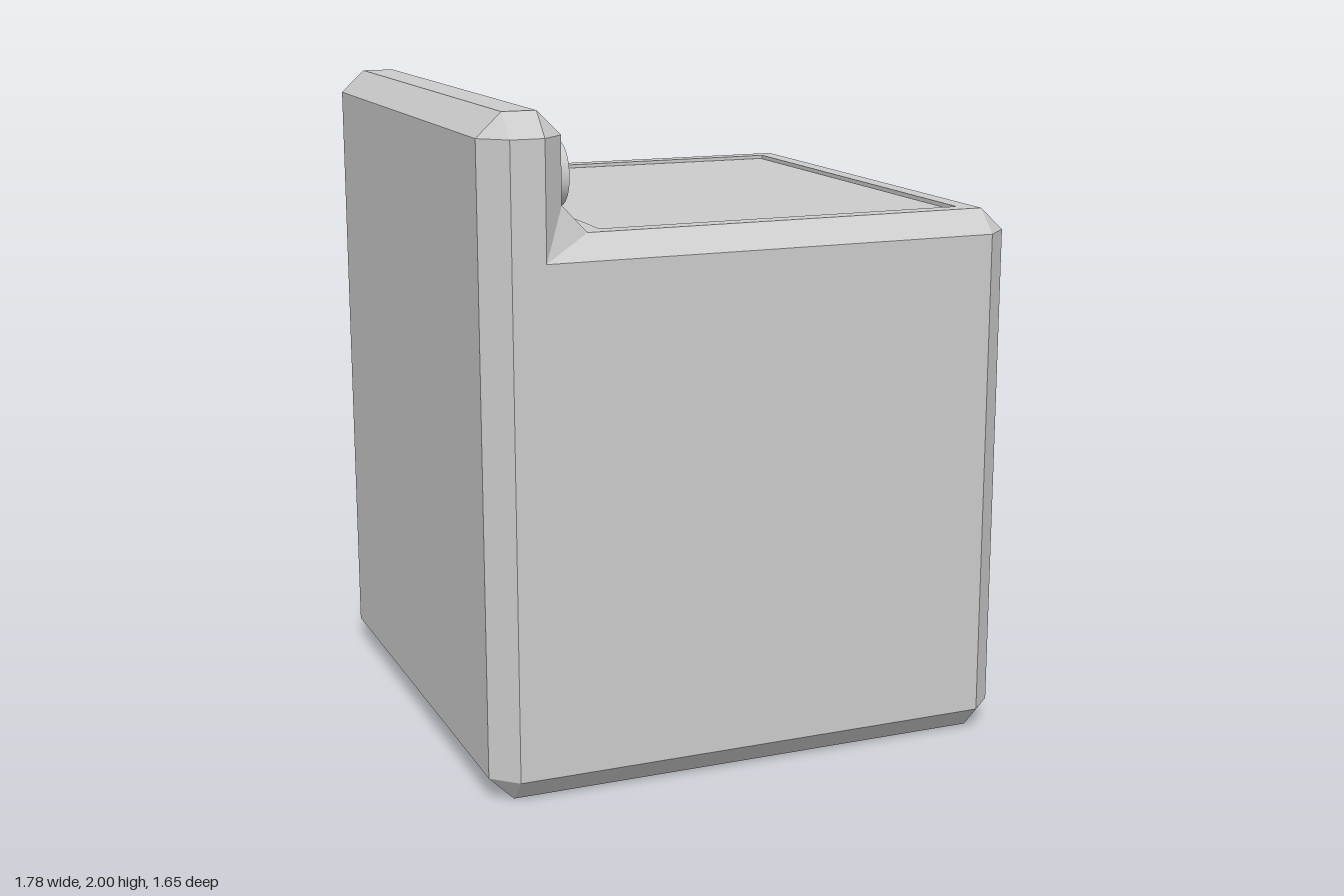
import * as THREE from 'three';

const material = new THREE.MeshStandardMaterial({ color: 0xcccccc });

function add(parent, name, geometry) {
  const mesh = new THREE.Mesh(geometry, material);
  mesh.name = name;
  parent.add(mesh);
  return mesh;
}

function box(x0, x1, y0, y1, z0, z1) {
  return new THREE.BoxGeometry(x1 - x0, y1 - y0, z1 - z0)
    .translate((x0 + x1) / 2, (y0 + y1) / 2, (z0 + z1) / 2);
}

const rectangle = (x0, x1, y0, y1) =>
  [[x0, y0], [x1, y0], [x1, y1], [x0, y1]].map(([x, y]) => new THREE.Vector2(x, y));

// Flat frame with a rectangular opening, extruded along +z
function frame(outer, hole, depth) {
  const shape = new THREE.Shape(rectangle(...outer));
  shape.holes.push(new THREE.Path(rectangle(...hole)));
  return new THREE.ExtrudeGeometry(shape, { depth, bevelEnabled: false });
}

// Outline of the body, and the smaller outline of its side faces
const outline = [
  [-0.895, 0.075], [-0.82, 0], [0.685, 0], [0.76, 0.075], [0.76, 1.585], [0.685, 1.655],
  [-0.575, 1.655], [-0.65, 1.735], [-0.65, 1.93], [-0.72, 2], [-0.82, 2], [-0.895, 1.93],
];
const side = [[-0.82, 0.075], [0.685, 0.075], [0.685, 1.585], [-0.72, 1.585], [-0.72, 1.93], [-0.82, 1.93]];
const sideIndex = [0, 0, 1, 1, 2, 2, 3, 3, 4, 4, 5, 5];

// Chamfered skin lofted along z, leaving out the oven front and cooktop strips
function bodySkin() {
  const inset = sideIndex.map((i) => side[i]);
  const loops = [[inset, 0.825], [outline, 0.755], [outline, -0.755], [inset, -0.825]]
    .map(([points, z]) => points.map(([x, y]) => new THREE.Vector3(x, y, z)));
  const positions = [];
  const triangle = (a, b, c) => {
    if (a.equals(b) || b.equals(c) || c.equals(a)) return;
    for (const p of [a, b, c]) positions.push(p.x, p.y, p.z);
  };
  for (let k = 0; k < 3; k++) {
    const a = loops[k], b = loops[k + 1];
    for (let i = 0; i < 12; i++) {
      if (k === 1 && (i === 3 || i === 5)) continue;
      const j = (i + 1) % 12;
      triangle(a[i], b[i], b[j]);
      triangle(a[i], b[j], a[j]);
    }
  }
  const geometry = new THREE.BufferGeometry();
  geometry.setAttribute('position', new THREE.Float32BufferAttribute(positions, 3));
  geometry.computeVertexNormals();
  return geometry;
}

export function createModel() {
  const model = new THREE.Group();
  model.name = 'stove';

  // Body: chamfered skin and flat side faces
  const body = new THREE.Group();
  body.name = 'body';
  model.add(body);
  add(body, 'bodySkin', bodySkin());
  const sideShape = new THREE.Shape(side.map(([x, y]) => new THREE.Vector2(x, y)));
  add(body, 'sidePanels', new THREE.ExtrudeGeometry(sideShape, { depth: 1.65, bevelEnabled: false })
    .translate(0, 0, -0.825));

  // Cooktop: rim, groove and slightly sunken plate
  add(model, 'cooktopRim', frame([-0.575, 0.685, -0.755, 0.755], [-0.52, 0.63, -0.7, 0.7], 0.025)
    .rotateX(-Math.PI / 2).translate(0, 1.63, 0));
  add(model, 'cooktopGroove', box(-0.53, 0.64, 1.6, 1.632, -0.71, 0.71));
  add(model, 'cooktopPlate', box(-0.512, 0.622, 1.62, 1.645, -0.692, 0.692));

  // Oven front, raised door frame and recessed window
  const opening = [-0.605, 0.605, 0.23, 1.435];
  add(model, 'ovenFront', frame([-0.755, 0.755, 0.075, 1.585], opening, 0.03)
    .rotateY(Math.PI / 2).translate(0.73, 0, 0));
  add(model, 'ovenDoorFrame', frame([-0.71, 0.71, 0.115, 1.545], opening, 0.045)
    .rotateY(Math.PI / 2).translate(0.73, 0, 0));
  add(model, 'ovenWindow', box(0.7, 0.735, 0.2, 1.44, -0.62, 0.62));

  // Bowed door handle: a flattened half ring whose ends sink into the door
  const X = new THREE.Vector3(1, 0, 0), Y = new THREE.Vector3(0, 1, 0), Z = new THREE.Vector3(0, 0, 1);
  add(model, 'doorHandle', new THREE.TorusGeometry(0.5, 0.085, 16, 48, Math.PI)
    .scale(1, 0.32, 0.74)
    .applyMatrix4(new THREE.Matrix4().makeBasis(Z, X, Y))
    .translate(0.7, 1.508, 0));

  // Control knobs
  for (const z of [0.56, 0.26, -0.31, -0.59]) {
    add(model, 'knob', new THREE.CylinderGeometry(0.094, 0.094, 0.08, 32)
      .rotateZ(-Math.PI / 2).translate(-0.63, 1.8, z));
  }
  return model;
}
